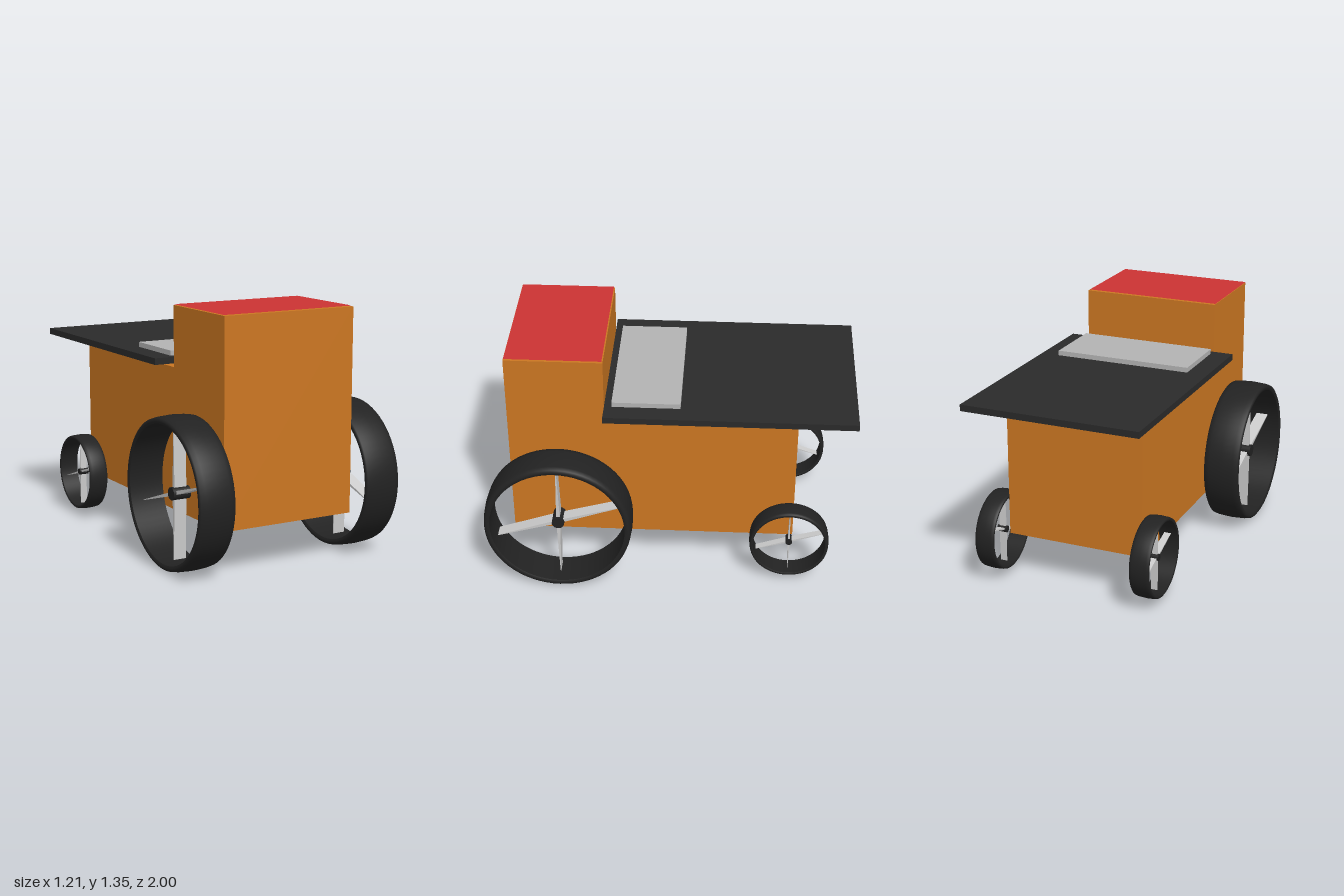
import * as THREE from 'three';
import { toCreasedNormals } from 'three/addons/utils/BufferGeometryUtils.js';

const mat = (color) => new THREE.MeshStandardMaterial({ color });
const orange = mat(0xcc7722), red = mat(0xcc3333), black = mat(0x2a2a2a);
const rubber = mat(0x222222), grey = mat(0xb3b3b3), steel = mat(0xcccccc);
red.side = THREE.DoubleSide;

function add(parent, name, geometry, material, x = 0, y = 0, z = 0) {
  const mesh = new THREE.Mesh(geometry, material);
  mesh.name = name;
  mesh.position.set(x, y, z);
  parent.add(mesh);
  return mesh;
}

// Box given by its lower and upper corners
function block(parent, name, material, [x0, y0, z0], [x1, y1, z1]) {
  return add(parent, name, new THREE.BoxGeometry(x1 - x0, y1 - y0, z1 - z0), material,
    (x0 + x1) / 2, (y0 + y1) / 2, (z0 + z1) / 2);
}

// Flat spoke, wide along the axle, thinning toward the rim
function spokeGeometry(length) {
  const g = new THREE.BoxGeometry(0.07, length, 0.022);
  g.translate(0, length / 2, 0);
  const p = g.attributes.position;
  for (let i = 0; i < p.count; i++) if (p.getY(i) > 0.01) p.setZ(i, p.getZ(i) * 0.15);
  g.computeVertexNormals();
  return g;
}

// Wheel with its axle along x
function makeWheel(name) {
  const wheel = new THREE.Group();
  wheel.name = name;

  // Wide hoop: slightly crowned outside, straight inside
  const profile = [
    [0.368, -0.098], [0.378, -0.103], [0.388, -0.103], [0.397, -0.097], [0.402, -0.07],
    [0.406, 0], [0.402, 0.07], [0.397, 0.097], [0.388, 0.103], [0.378, 0.103],
    [0.368, 0.098], [0.368, -0.098],
  ].map(([r, x]) => new THREE.Vector2(r, x));
  const tyre = toCreasedNormals(new THREE.LatheGeometry(profile, 64), 0.9);
  add(wheel, 'tyre', tyre.rotateZ(-Math.PI / 2), rubber);

  // Hub
  add(wheel, 'hub', new THREE.CylinderGeometry(0.034, 0.034, 0.1, 24).rotateZ(Math.PI / 2), rubber);

  // Two crossing pairs of spokes, the second one tilted
  const tilt = THREE.MathUtils.degToRad(-72);
  for (const angle of [0, Math.PI, tilt, tilt + Math.PI]) {
    add(wheel, 'spoke', spokeGeometry(0.355), steel).rotation.x = angle;
  }
  return wheel;
}

export function createModel() {
  const model = new THREE.Group();
  model.name = 'cart';

  // Stepped body: L-shaped side outline pushed across the width
  const outline = new THREE.Shape([
    [-0.86, 0.248], [0.69, 0.248], [0.69, 1.02], [-0.34, 1.02], [-0.34, 1.348], [-0.86, 1.348],
  ].map(([x, y]) => new THREE.Vector2(x, y)));
  const body = new THREE.ExtrudeGeometry(outline, { depth: 0.775, bevelEnabled: false });
  body.rotateY(Math.PI / 2);
  add(model, 'body', body, orange, -0.393);

  // Coloured panel on the tall front
  const panel = new THREE.PlaneGeometry(0.77, 0.512).rotateX(-Math.PI / 2);
  add(model, 'frontTopPanel', panel, red, -0.01, 1.353, 0.602);

  // Overhanging deck and the cushion on it
  block(model, 'deck', black, [-0.505, 1.04, -1], [0.483, 1.075, 0.34]);
  block(model, 'seat', grey, [-0.39, 1.075, -0.065], [0.38, 1.102, 0.3]);

  // Large front wheels and small rear wheels
  for (const side of [1, -1]) {
    const turn = side > 0 ? 0 : Math.PI;
    const label = side > 0 ? 'left' : 'right';

    const front = makeWheel(label + 'FrontWheel');
    front.position.set(side * 0.502, 0.41, 0.594);
    front.rotation.y = turn;

    const rear = makeWheel(label + 'RearWheel');
    rear.position.set(side > 0 ? 0.437 : -0.455, 0.257, -0.67);
    rear.rotation.y = turn;
    rear.scale.setScalar(0.54);

    model.add(front, rear);
  }
  return model;
}
